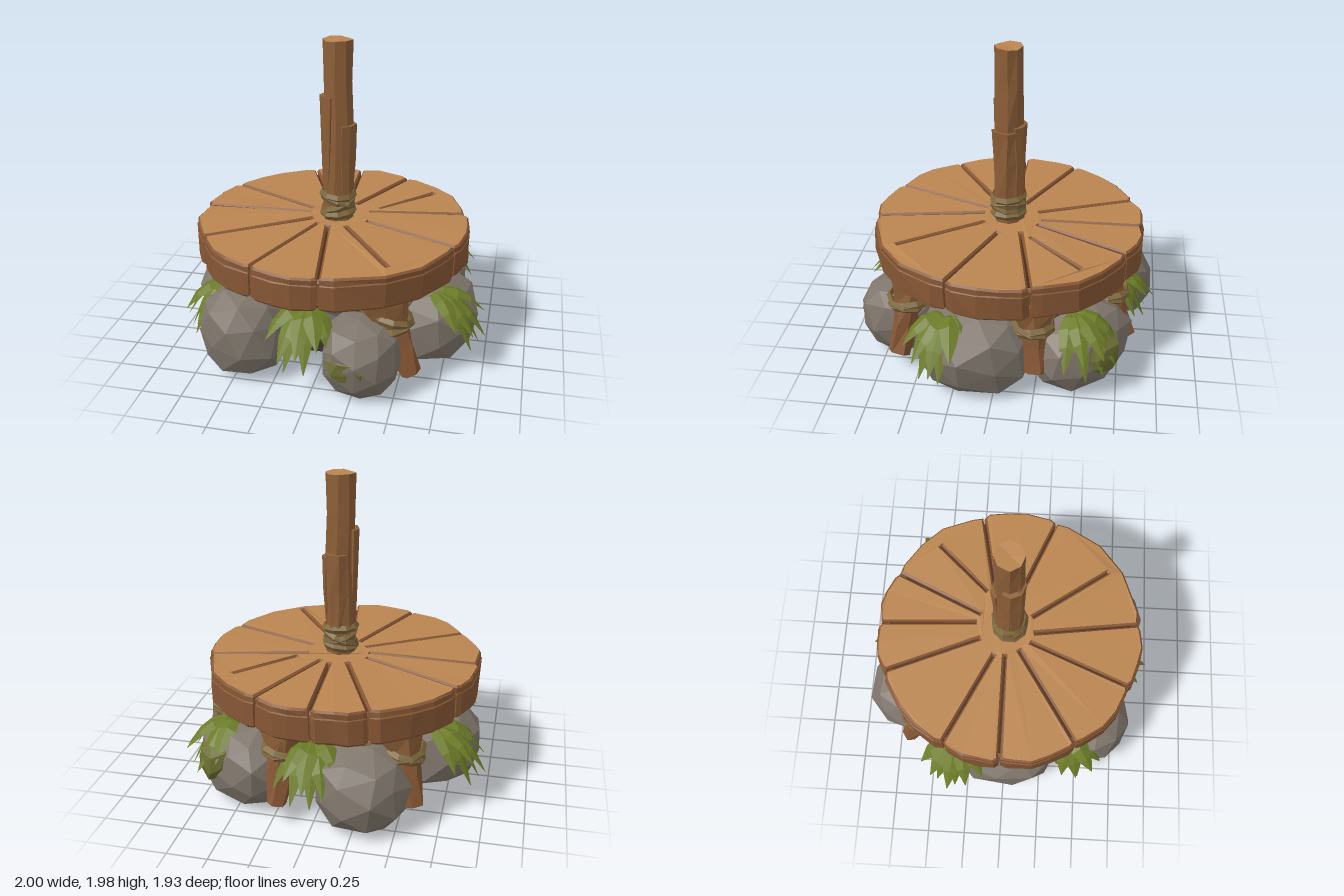
import * as THREE from 'three';

const mat = (color, side = THREE.FrontSide) =>
  new THREE.MeshStandardMaterial({ color, flatShading: true, roughness: 0.9, side });
const V = (x, y, z) => new THREE.Vector3(x, y, z);

const woodTop = mat(0xba8550), woodSide = mat(0x875735), woodDark = mat(0x4a2a18), bark = mat(0x8d5f38);
const stone = mat(0x7f766c), darkStone = mat(0x45423f), moss = mat(0x6c6e33), rope = mat(0x7d663c);
const leafGreen = mat(0x6c7b28, THREE.DoubleSide);

function add(parent, name, geometry, material) {
  const mesh = new THREE.Mesh(geometry, material);
  mesh.name = name;
  parent.add(mesh);
  return mesh;
}

// Move every vertex by a smooth rule, so shared corners stay together
function roughen(geometry, amount, seed) {
  const p = geometry.attributes.position, v = V(0, 0, 0);
  for (let i = 0; i < p.count; i++) {
    v.fromBufferAttribute(p, i);
    const wave = (k) => amount * Math.sin(v.x * 23 + v.y * 17 * k + v.z * 29 + seed * 2.3 + k * 1.9);
    p.setXYZ(i, v.x + wave(1), v.y + wave(2) * 0.7, v.z + wave(3));
  }
  geometry.computeVertexNormals();
  return geometry;
}

// Cylinder running from point a (top) to point b (bottom)
function limb(parent, name, a, b, ra, rb, material, sides = 7) {
  const g = roughen(new THREE.CylinderGeometry(ra, rb, a.distanceTo(b), sides, 2), 0.01, a.x * 9);
  const mesh = add(parent, name, g, material);
  mesh.position.copy(a).add(b).multiplyScalar(0.5);
  mesh.quaternion.setFromUnitVectors(V(0, 1, 0), a.clone().sub(b).normalize());
}

// Faceted stone, slightly squared off and flat underneath
function boulder(parent, name, [x, y, z, rx, ry, rz, yaw = 0], material, seed) {
  const g = new THREE.IcosahedronGeometry(1, 1);
  g.rotateY(seed * 1.3).rotateX(seed * 0.7);
  const p = g.attributes.position;
  const square = (c) => Math.sign(c) * Math.abs(c) ** 0.84;
  for (let i = 0; i < p.count; i++) p.setXYZ(i, square(p.getX(i)), square(p.getY(i)), square(p.getZ(i)));
  g.scale(rx, ry, rz).rotateY(yaw);
  roughen(g, 0.014, seed);
  g.translate(x, y, z);
  for (let i = 0; i < p.count; i++) p.setY(i, Math.max(p.getY(i), 0.015));
  g.computeVertexNormals();
  add(parent, name, g, material);
}

// Grooves of the round platform: outer x, z, inner x, z, and whether it opens at the rim
const CX = -0.027;
const grooves = [
  [-0.78, -0.38, -0.2, -0.1, 1], [-0.33, -0.77, -0.09, -0.2, 1], [-0.01, -0.83, 0.02, -0.23, 1],
  [0.34, -0.75, 0.09, -0.2, 1], [0.56, -0.5, 0.25, -0.17, 0], [0.78, -0.22, 0.2, -0.1, 1],
  [0.78, 0.28, 0.2, 0.04, 1], [0.43, 0.64, 0.08, 0.15, 0], [0.06, 0.82, -0.03, 0.17, 1],
  [-0.34, 0.74, -0.1, 0.15, 1], [-0.75, 0.46, -0.16, 0.07, 1], [-0.85, -0.02, -0.2, -0.02, 1],
].map(([ox, oz, ix, iz, open]) => {
  const outer = new THREE.Vector2(ox, oz), inner = new THREE.Vector2(ix, iz);
  const dir = outer.clone().sub(inner).normalize();
  const side = new THREE.Vector2(-dir.y, dir.x).multiplyScalar(0.007);
  return { outer, inner, dir, side, open, angle: Math.atan2(oz, ox - CX) };
});

// Rim outline of bulging planks with slots, either full length or only at the rim
function platformShape(fullSlots) {
  const open = grooves.filter((g) => g.open), points = [], radius = fullSlots ? 0.86 : 0.866;
  open.forEach((g, i) => {
    const rimRadius = radius - 0.01;
    const rim = new THREE.Vector2(CX + rimRadius * Math.cos(g.angle), rimRadius * Math.sin(g.angle));
    const end = fullSlots ? g.inner : rim.clone().addScaledVector(g.dir, -0.03);
    points.push(rim.clone().sub(g.side), end.clone().sub(g.side), end.clone().add(g.side), rim.clone().add(g.side));
    let span = open[(i + 1) % open.length].angle - g.angle;
    if (span < 0) span += Math.PI * 2;
    for (const t of [0.09, 0.35, 0.6, 0.9]) {
      const a = g.angle + span * t, r = radius + 0.018 * Math.sin(Math.PI * t) + 0.006 * Math.sin(i * 5 + t * 9);
      points.push(new THREE.Vector2(CX + r * Math.cos(a), r * Math.sin(a)));
    }
  });
  const shape = new THREE.Shape(points);
  if (fullSlots) {
    for (const g of grooves.filter((s) => !s.open)) {
      shape.holes.push(new THREE.Path([
        g.inner.clone().sub(g.side), g.inner.clone().add(g.side),
        g.outer.clone().add(g.side), g.outer.clone().sub(g.side)]));
    }
  }
  return shape;
}

function slab(parent, name, fullSlots, top, bottom, bevel, materials) {
  const g = new THREE.ExtrudeGeometry(platformShape(fullSlots), {
    depth: top - bottom - 2 * bevel, bevelThickness: bevel, bevelSize: bevel, bevelOffset: -bevel, bevelSegments: 1 });
  g.rotateX(Math.PI / 2).translate(0, top - bevel, 0);
  // Worn rim: the upper edge sinks a little
  const p = g.attributes.position;
  for (let i = 0; i < p.count; i++) {
    if (p.getY(i) > 0.8 && Math.hypot(p.getX(i) - CX, p.getZ(i)) > 0.8) p.setY(i, p.getY(i) - 0.01);
  }
  add(parent, name, roughen(g, 0.004, 2), materials);
}

// Drooping leaf from cross-sections of left edge, raised midrib and right edge
function leaf(parent, x, z, yaw, length, drop) {
  const pos = [], index = [], widths = [0.015, 0.045, 0.062, 0.045, 0.002], n = widths.length;
  widths.forEach((w, i) => {
    const t = i / (n - 1), along = length * t, y = 0.07 * Math.sin(t * 2.2) - drop * t * t;
    pos.push(along, y - w * 0.35, -w, along, y, 0, along, y - w * 0.35, w);
    if (i < n - 1) {
      for (const k of [i * 3, i * 3 + 1]) index.push(k, k + 1, k + 3, k + 1, k + 4, k + 3);
    }
  });
  const g = new THREE.BufferGeometry();
  g.setAttribute('position', new THREE.Float32BufferAttribute(pos, 3));
  g.setIndex(index);
  g.computeVertexNormals();
  const mesh = add(parent, 'leaf', g, leafGreen);
  mesh.position.set(x, 0.51, z);
  mesh.rotation.y = -yaw;
}

// Flattened band of rope around a limb
function ropeRing(parent, center, radius, tube, tiltX, tiltZ) {
  const g = new THREE.TorusGeometry(radius, tube, 4, 9).rotateX(Math.PI / 2).scale(1, 1.5, 1);
  const mesh = add(parent, 'ropeRing', g, rope);
  mesh.position.copy(center);
  mesh.rotation.set(tiltX, 0, tiltZ);
}

export function createModel() {
  const model = new THREE.Group();
  const group = (name) => {
    const g = new THREE.Group();
    g.name = name;
    model.add(g);
    return g;
  };

  // Round plank platform on a dark central support
  const platform = group('platform');
  slab(platform, 'platformBase', false, 0.798, 0.61, 0.02, [woodDark, woodSide]);
  slab(platform, 'platformTop', true, 0.838, 0.76, 0.012, [woodTop, woodSide]);
  limb(platform, 'centralSupport', V(0, 0.63, 0), V(0, 0.4, 0), 0.42, 0.36, darkStone, 9);

  // Upright post with split bark and a rope binding
  const post = group('post');
  const trunk = new THREE.CylinderGeometry(0.09, 0.1, 1.25, 8, 5).translate(0, 1.37, 0);
  add(post, 'trunk', roughen(trunk, 0.006, 1), [bark, woodTop, woodSide]);
  for (const [angle, top, height] of [[2.75, 1.65, 0.6], [0.3, 1.47, 0.45], [-1.4, 1.5, 0.5]]) {
    const strip = new THREE.CylinderGeometry(0.078, 0.06, height, 6, 2).scale(0.6, 1, 1);
    const mesh = add(post, 'barkStrip', roughen(strip, 0.005, angle), bark);
    mesh.position.set(Math.cos(angle) * 0.069, top - height / 2, Math.sin(angle) * 0.069);
    mesh.rotation.y = -angle;
  }
  const binding = group('postBinding');
  for (const [y, tx, tz] of [[0.88, 0.05, 0.1], [0.93, 0.1, 0.38], [0.95, -0.2, -0.3], [1.0, 0.08, -0.06]]) {
    ropeRing(binding, V(0, y, 0), 0.104, 0.018, tx, tz);
  }

  // Ring of boulders around a dark filling stone
  const rocks = group('boulders');
  [
    [-0.46, 0.28, 0.53, 0.29, 0.29, 0.32], [0.29, 0.25, 0.65, 0.25, 0.25, 0.28],
    [0.57, 0.275, 0.13, 0.37, 0.28, 0.38], [-0.57, 0.265, 0, 0.36, 0.27, 0.38],
    [-0.28, 0.265, -0.6, 0.3, 0.27, 0.36], [0.49, 0.255, -0.5, 0.36, 0.265, 0.26, -Math.PI / 4],
  ].forEach((r, i) => boulder(rocks, 'boulder', r, stone, i + 1));
  boulder(rocks, 'fillingStone', [0, 0.27, 0.02, 0.58, 0.26, 0.6], darkStone, 8);
  boulder(rocks, 'mossPatch', [0.26, 0.27, 0.79, 0.15, 0.12, 0.14], moss, 4);
  boulder(rocks, 'mossPatch', [0.62, 0.3, -0.6, 0.14, 0.14, 0.15], moss, 5);

  // Splayed legs, each bound with rope: upper x, z, then lower x, y, z
  const legs = group('legs');
  const knees = [];
  for (const [ax, az, bx, by, bz] of [
    [0.38, 0.55, 0.58, 0.12, 0.63], [0.62, -0.22, 0.76, 0.2, -0.26], [0.2, -0.6, 0.22, 0.13, -0.79],
    [-0.47, -0.52, -0.59, 0.16, -0.66], [-0.53, 0.36, -0.71, 0.16, 0.39]]) {
    const top = V(ax, 0.65, az), foot = V(bx, by, bz), knee = top.clone().lerp(foot, 0.4);
    limb(legs, 'legHead', top, knee, 0.18, 0.1, bark);
    limb(legs, 'leg', top.clone().lerp(foot, 0.33), foot, 0.1, 0.065, woodSide, 6);
    ropeRing(legs, knee, 0.115, 0.02, 0.15, 0.2);
    ropeRing(legs, knee.clone().add(V(0, 0.03, 0)), 0.12, 0.018, -0.2, -0.15);
    knees.push(knee);
  }

  // Ropes draped over the stones between neighbouring legs
  knees.forEach((a, i) => {
    const b = knees[(i + 1) % knees.length];
    const mid = a.clone().add(b).multiplyScalar(0.54).setY(0.54);
    const curve = new THREE.CatmullRomCurve3([a, mid, b]);
    add(legs, 'drapedRope', new THREE.TubeGeometry(curve, 10, 0.02, 5), rope);
  });

  // Leaf tufts: base x, z, direction, leaf length
  const tufts = group('leafTufts');
  [
    [-0.05, 0.6, 1.57, 0.36], [0.64, 0.28, 0.2, 0.37], [-0.63, -0.3, 3.35, 0.37],
    [0.02, -0.62, -1.57, 0.35], [0.55, -0.46, -0.65, 0.35], [-0.6, 0.42, 2.5, 0.3],
  ].forEach(([x, z, yaw, length], t) => {
    for (let i = -2; i <= 2; i++) {
      const long = length * (1 - 0.06 * Math.abs(i));
      leaf(tufts, x, z, yaw + i * 0.36, long, 0.24 + 0.06 * Math.sin(i * 2.1 + t));
    }
    for (const i of [-1, 1]) leaf(tufts, x, z, yaw + i * 0.2 + 0.08, length * 0.87, 0.36);
  });

  return model;
}
